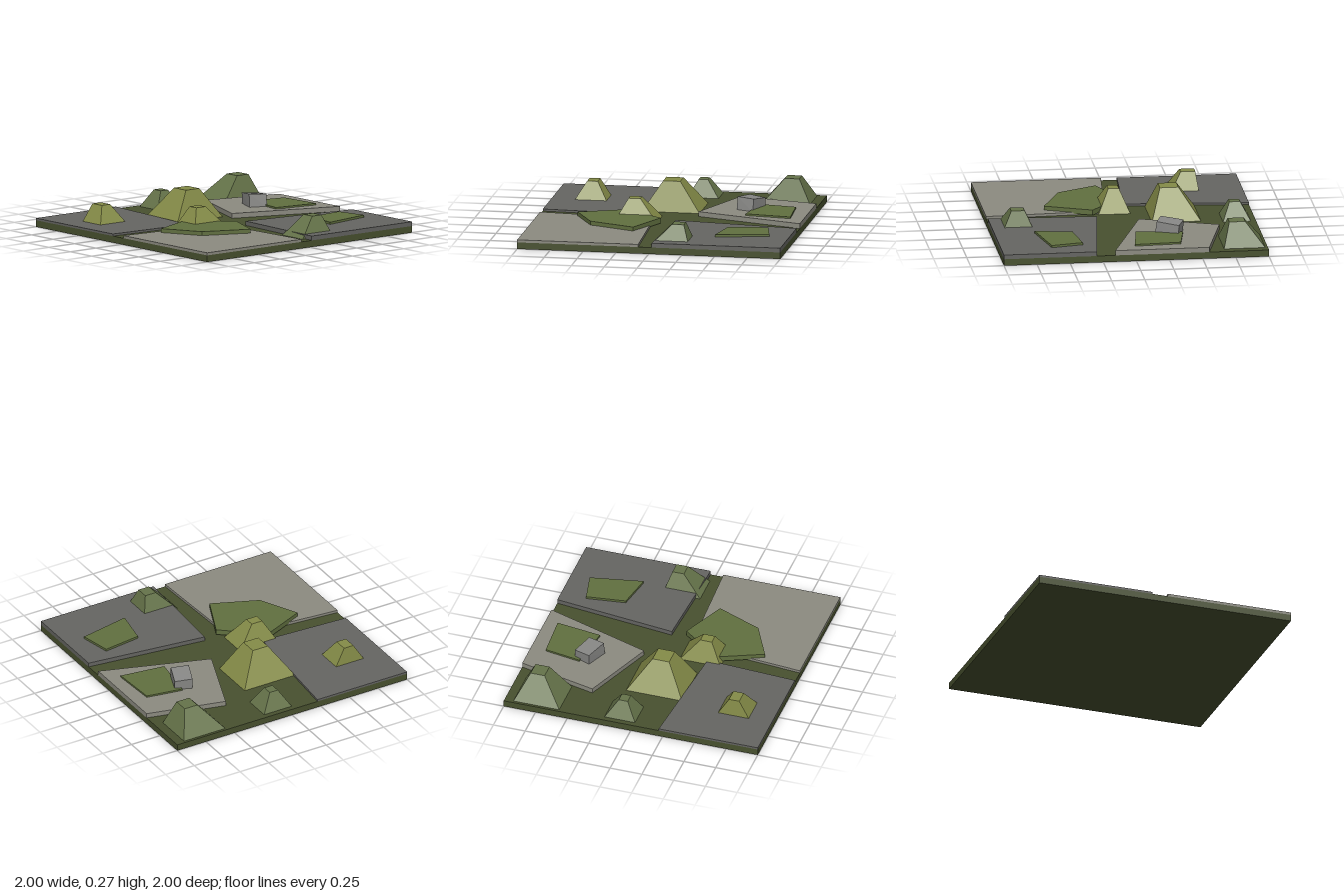
import * as THREE from 'three';

const mat = (name, color) => {
  const m = new THREE.MeshStandardMaterial({ color });
  m.name = name;
  return m;
};

// Solid between two convex rings of [x, y, z], both clockwise seen from above
function loft(lower, upper) {
  const n = lower.length, pos = [];
  const tri = (...pts) => pts.forEach(p => pos.push(...p));
  for (let i = 0; i < n; i++) {
    const j = (i + 1) % n;
    tri(lower[i], upper[i], upper[j]);
    tri(lower[i], upper[j], lower[j]);
    if (i > 0 && i < n - 1) {
      tri(upper[0], upper[j], upper[i]);
      tri(lower[0], lower[i], lower[j]);
    }
  }
  const g = new THREE.BufferGeometry();
  g.setAttribute('position', new THREE.Float32BufferAttribute(pos, 3));
  g.computeVertexNormals();
  return g;
}

const ring = (pts, y) => pts.map(([x, z]) => [x, y, z]);
const rect = ([x0, x1, z0, z1]) => [[x0, z0], [x1, z0], [x1, z1], [x0, z1]];

export function createModel() {
  const model = new THREE.Group();
  model.name = 'terrainTile';
  const earth = mat('dark earth green', 0x48512f);
  const darkStone = mat('dark stone', 0x656562);
  const paleStone = mat('pale stone', 0x8c8b81);
  const rockGrey = mat('rock grey', 0x888886);
  const grass = mat('grass green', 0x617040);
  const olive = mat('olive', 0x858c48);
  const moss = mat('moss green', 0x66744a);

  const add = (name, geometry, material) => {
    const mesh = new THREE.Mesh(geometry, material);
    mesh.name = name;
    model.add(mesh);
  };
  const plate = (name, pts, y0, y1, material) =>
    add(name, loft(ring(pts, y0), ring(pts, y1)), material);

  // Ground
  plate('ground', rect([-1, 1, -1, 1]), 0, 0.05, earth);

  // Paved slabs
  plate('backLeftSlab', [[-1, -1], [-0.22, -1], [-0.3, -0.06], [-1, -0.1]], 0.05, 0.066, darkStone);
  plate('frontLeftSlab', [[-1, 0.02], [-0.12, 0.1], [-0.08, 1], [-1, 1]], 0.05, 0.07, paleStone);
  plate('frontRightSlab', [[0.06, 0.18], [1, 0.3], [1, 1], [0.02, 1]], 0.05, 0.083, darkStone);
  plate('backRightSlab', [[0.4, -0.7], [1, -0.55], [1, 0.16], [0.18, -0.12]], 0.05, 0.087, paleStone);

  // Grass patches
  plate('largeGrassPatch', [[-0.7, 0.1], [-0.35, -0.05], [-0.05, 0.2], [-0.2, 0.55], [-0.55, 0.4]], 0.06, 0.1, grass);
  plate('frontGrassPatch', [[0.5, 0.42], [0.8, 0.38], [0.85, 0.62], [0.45, 0.7]], 0.07, 0.1, grass);
  plate('backGrassPatch', [[0.6, -0.4], [0.88, -0.35], [0.9, 0], [0.55, -0.05]], 0.07, 0.1, grass);

  // Hills: base extents, top extents (x0, x1, z0, z1), height
  const hills = [
    [olive, [-0.27, 0.17, -0.59, -0.22], [-0.12, 0.01, -0.44, -0.3], 0.273],
    [olive, [-0.41, -0.09, -0.09, 0.15], [-0.32, -0.23, -0.02, 0.06], 0.21],
    [olive, [-0.83, -0.57, -0.67, -0.45], [-0.74, -0.66, -0.65, -0.54], 0.195],
    [moss, [-0.02, 0.22, -0.96, -0.75], [0.06, 0.13, -0.89, -0.81], 0.18],
    [moss, [0.57, 0.93, -0.98, -0.67], [0.73, 0.84, -0.84, -0.72], 0.232],
    [moss, [0, 0.29, 0.68, 0.92], [0.15, 0.24, 0.75, 0.85], 0.2],
  ];
  hills.forEach(([material, base, top, h], i) =>
    add(`hill${i + 1}`, loft(ring(rect(base), 0.05), ring(rect(top), h)), material));

  // Tilted rock
  add('rock', loft(
    ring([[0.52, -0.41], [0.645, -0.36], [0.58, -0.19], [0.45, -0.24]], 0.08),
    [[0.52, 0.17, -0.415], [0.645, 0.16, -0.365], [0.585, 0.18, -0.205], [0.455, 0.186, -0.25]]
  ), rockGrey);

  return model;
}
